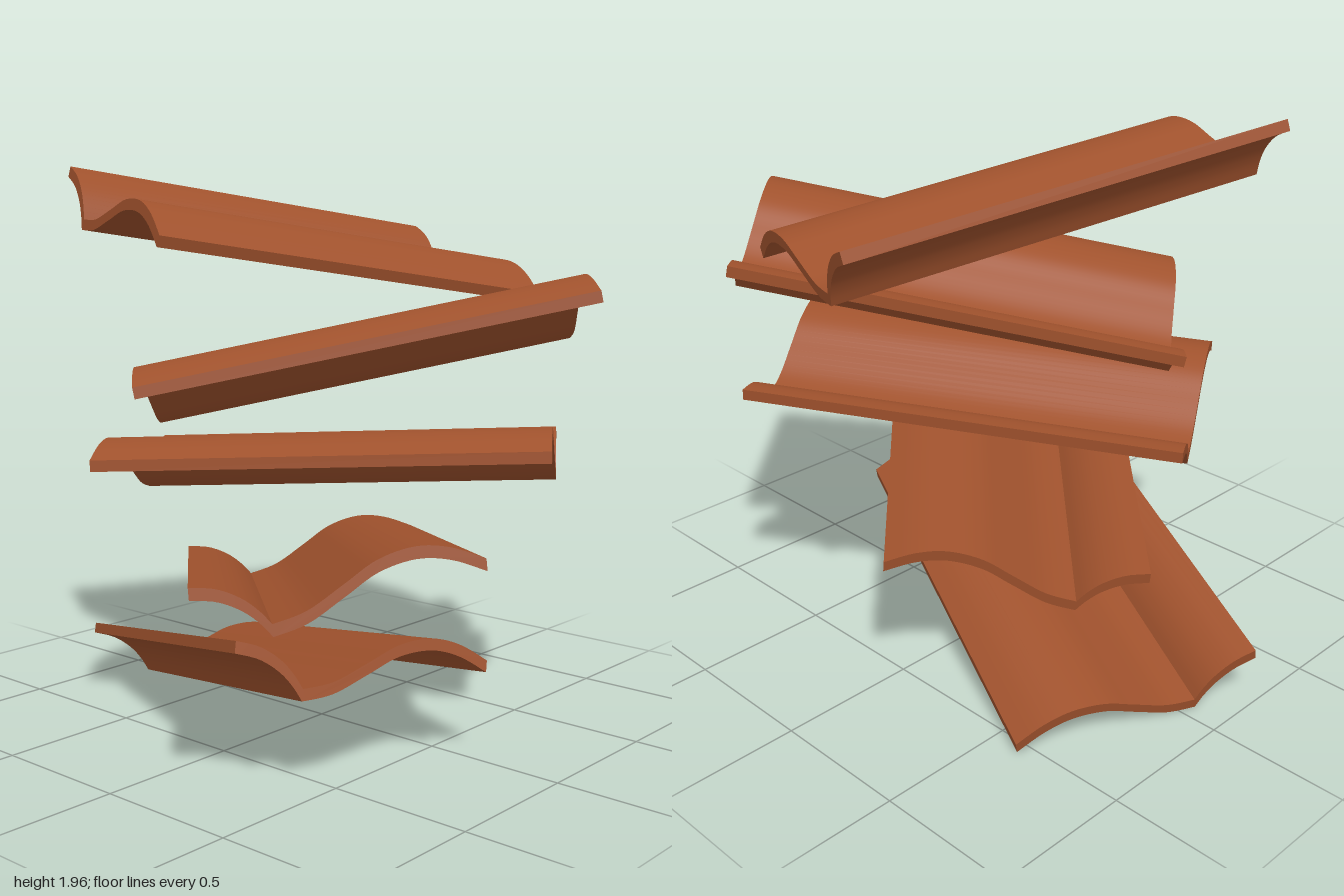
import * as THREE from 'three';
import { toCreasedNormals } from 'three/addons/utils/BufferGeometryUtils.js';

const LENGTH = 1.5;
const THICKNESS = 0.038;

// Upper line of the tile section: small convex roll, creased valley, broad hump.
const ROLL = [[0, 0], [0.08, -0.012], [0.15, -0.045], [0.2, -0.087], [0.235, -0.13]];
const PAN = [[0.235, -0.13], [0.34, -0.101], [0.455, -0.034], [0.56, 0.028], [0.675, 0.056], [0.78, 0.043], [0.883, 0]];

const smooth = (points, count) =>
  new THREE.SplineCurve(points.map(([x, y]) => new THREE.Vector2(x, y))).getPoints(count);

function tileGeometry() {
  const top = [...smooth(ROLL, 14), ...smooth(PAN, 36).slice(1)];
  const bottom = top.map((p) => new THREE.Vector2(p.x, p.y - THICKNESS)).reverse();
  const shape = new THREE.Shape([...top, ...bottom]);
  const geometry = new THREE.ExtrudeGeometry(shape, { depth: LENGTH, bevelEnabled: false, steps: 1 });
  geometry.translate(0, 0, -LENGTH / 2);
  return toCreasedNormals(geometry, 0.5);
}

// Each tile: both ends of its roll edge, then the hump-side corner beside the first end.
const TILES = [
  ['topTile', [-0.44, 1.97, -0.81], [0.97, 1.76, -0.34], [-0.74, 1.725, 0]],
  ['upperTile', [0.85, 1.515, 0.385], [-0.165, 1.215, -0.68], [0.21, 1.56, 0.99]],
  ['middleTile', [0.76, 1.027, 0.487], [-0.025, 0.957, -0.793], [0.01, 1.067, 0.945]],
  ['lowerTile', [-0.98, 0.72, 0.345], [0.04, 0.515, -0.735], [-0.325, 0.786, 0.94]],
  ['bottomTile', [-0.8, 0.525, 0.365], [-0.22, 0.21, -1.0], [-0.02, 0.36, 0.73]],
];

export function createModel() {
  const group = new THREE.Group();
  group.name = 'roofTileStack';
  const clay = new THREE.MeshStandardMaterial({ color: 0xa0522d });
  clay.name = 'terracotta';
  const geometry = tileGeometry();

  for (const [name, a, b, c] of TILES) {
    const start = new THREE.Vector3(...a);
    const end = new THREE.Vector3(...b);
    const along = end.clone().sub(start).normalize();
    const across = new THREE.Vector3(...c).sub(start);
    across.addScaledVector(along, -across.dot(along)).normalize();
    const up = along.clone().cross(across);
    // The section is the same at both ends, so turn the length to keep the hump upward.
    if (up.y < 0) {
      along.negate();
      up.negate();
    }
    const tile = new THREE.Mesh(geometry, clay);
    tile.name = name;
    tile.quaternion.setFromRotationMatrix(new THREE.Matrix4().makeBasis(across, up, along));
    tile.position.copy(start).add(end).multiplyScalar(0.5);
    group.add(tile);
  }
  return group;
}
